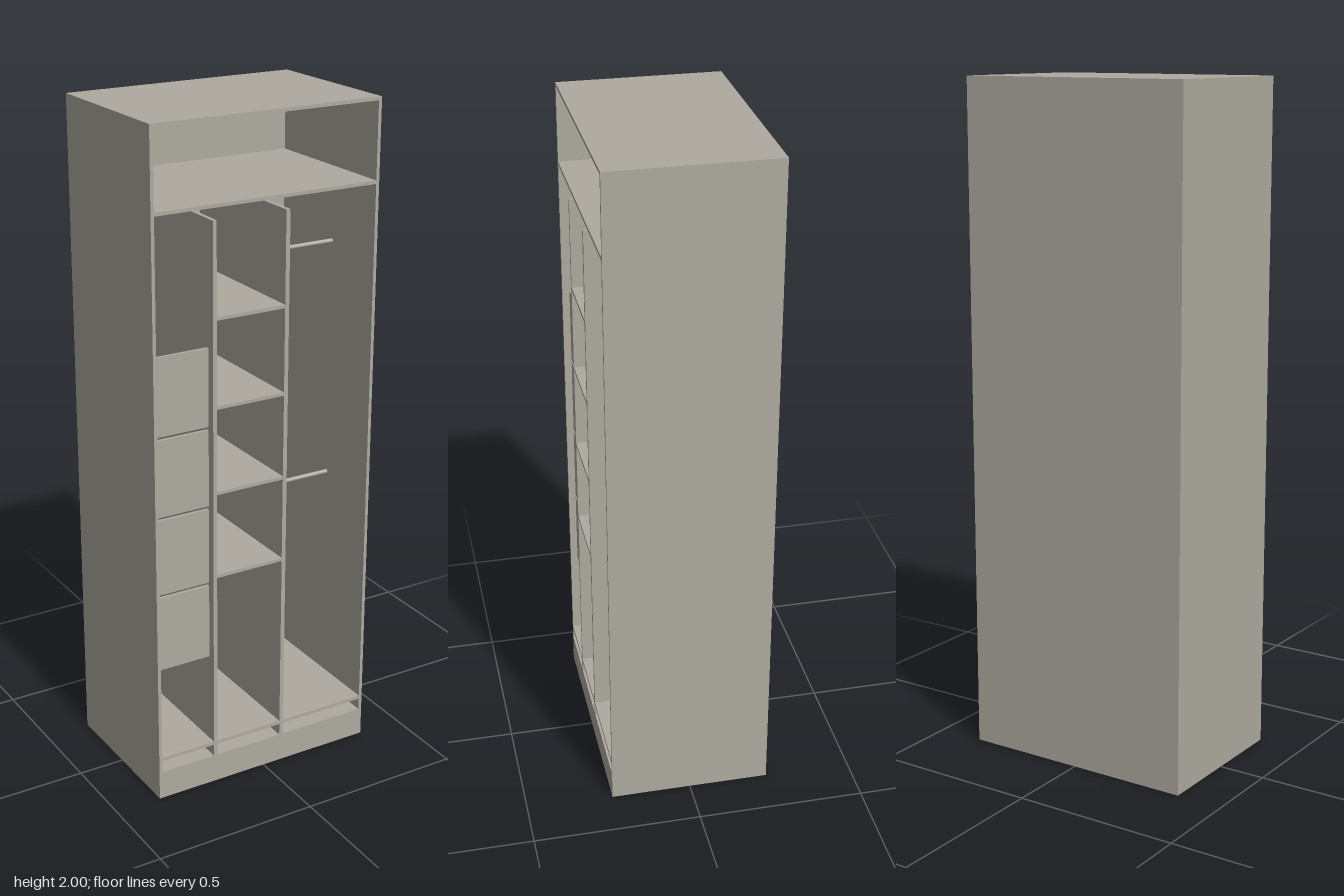
import * as THREE from 'three';

export function createModel() {
  const model = new THREE.Group();
  model.name = 'wardrobe';
  const board = new THREE.MeshStandardMaterial({ color: 0xaeaaa0 });
  board.name = 'warm grey board';

  // Box given by its extents on each axis
  function panel(name, [x0, x1], [y0, y1], [z0, z1]) {
    const mesh = new THREE.Mesh(new THREE.BoxGeometry(x1 - x0, y1 - y0, z1 - z0), board);
    mesh.name = name;
    mesh.position.set((x0 + x1) / 2, (y0 + y1) / 2, (z0 + z1) / 2);
    model.add(mesh);
  }

  const W = 0.359, D = 0.24, T = 0.01;
  const inner = [-W + T, W - T];
  const depth = [-D + T, D];
  const dividers = [[-0.174, -0.162], [0.056, 0.069]];

  // Carcass
  panel('rightSide', [-W, -W + T], [0, 2], [-D, D]);
  panel('leftSide', [W - T, W], [0, 2], [-D, D]);
  panel('back', inner, [0, 2], [-D, -D + T]);
  panel('top', inner, [2 - T, 2], depth);
  panel('plinth', inner, [0, 0.088], depth);
  panel('upperShelf', inner, [1.759, 1.769], depth);

  // Uprights stop short of the upper shelf
  for (const x of dividers) panel('divider', x, [0.088, 1.725], depth);

  // Floor of each bay, above a shallow open slot
  const bays = [[inner[0], dividers[0][0]], [dividers[0][1], dividers[1][0]], [dividers[1][1], inner[1]]];
  for (const x of bays) panel('bayFloor', x, [0.125, 0.136], depth);

  // Shelves in the middle bay
  for (const y of [0.68, 0.939, 1.195, 1.452]) {
    panel('shelf', bays[1], [y - T / 2, y + T / 2], depth);
  }

  // Drawer fronts, set slightly back
  for (let i = 0; i < 4; i++) {
    const y = 0.416 + i * 0.24;
    panel('drawerFront', [-0.339, -0.177], [y, y + 0.23], [0.21, 0.22]);
  }

  // Hanging rails
  for (const y of [0.835, 1.558]) {
    const rail = new THREE.Mesh(new THREE.CylinderGeometry(0.0065, 0.0065, 0.249, 20), board);
    rail.name = 'hangingRail';
    rail.rotation.z = Math.PI / 2;
    rail.position.set(0.2035, y, 0.06);
    model.add(rail);
  }

  return model;
}
